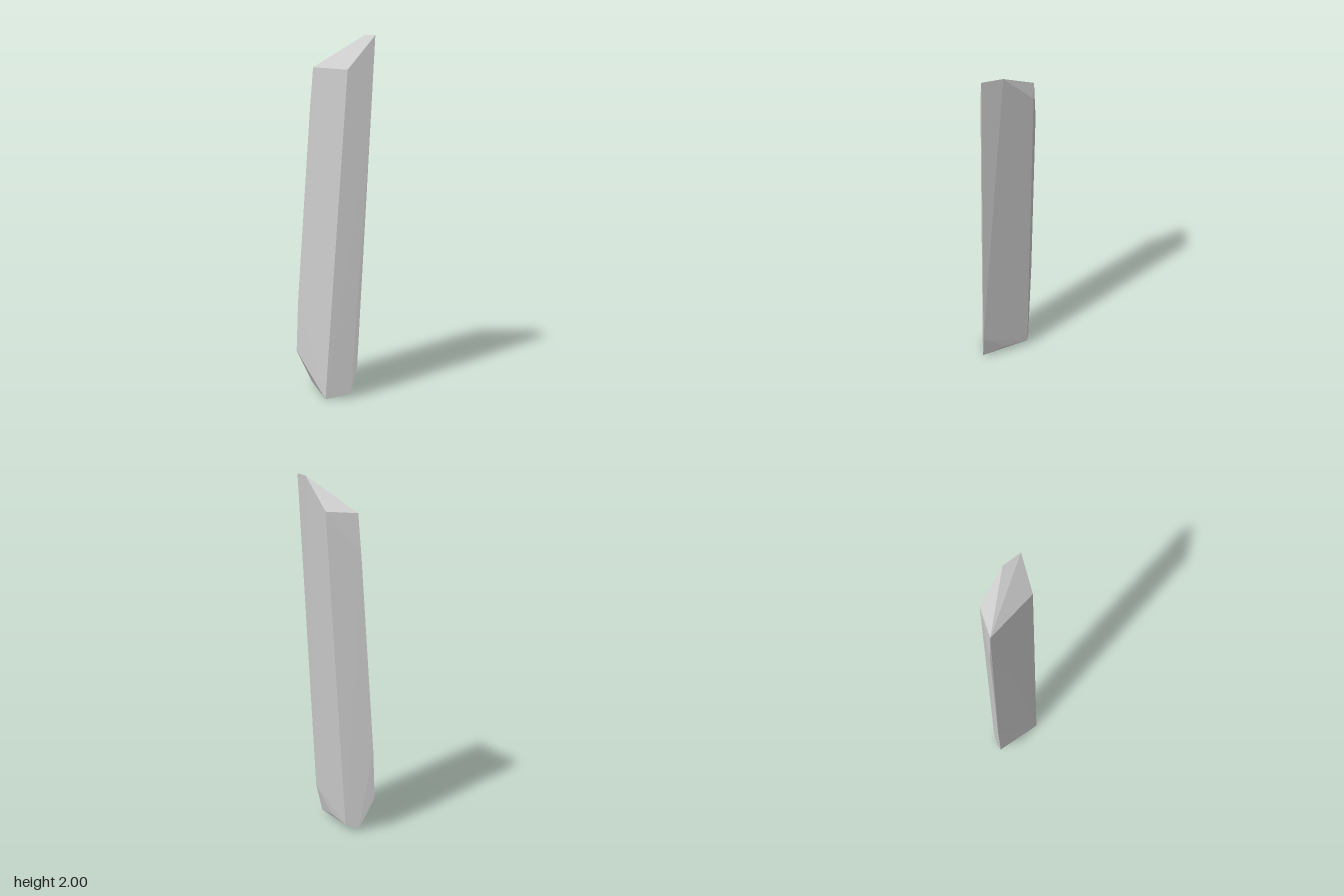
import * as THREE from 'three';
import { ConvexGeometry } from 'three/addons/geometries/ConvexGeometry.js';

export function createModel() {
  const group = new THREE.Group();
  group.name = 'crystalShard';

  // Corner points along each long edge of the leaning shard, top to bottom
  const edges = {
    frontRight: [[0.185, 2, 0.15], [0.16, 1.55, 0.156], [0.09, 0.18, 0.155], [0.055, 0.02, 0.156]],
    frontLeft: [[0.035, 1.82, 0.144], [-0.09, 0, 0.147]],
    backLeft: [[-0.085, 1.82, -0.144], [-0.1, 1.6, -0.157], [-0.175, 0.49, -0.157], [-0.187, 0.2, -0.149], [-0.1, 0.012, -0.135]],
    backRight: [[0.085, 1.83, -0.121], [-0.025, 0.04, -0.121]],
    tip: [[0.16, 2, 0.04]],
    base: [[0.025, 0.05, 0.015]],
  };
  const points = Object.values(edges).flat().map((p) => new THREE.Vector3(...p));

  // Faceted body stretched over the corners
  const shard = new THREE.Mesh(
    new ConvexGeometry(points),
    new THREE.MeshStandardMaterial({ color: 0xcccccc, flatShading: true })
  );
  shard.name = 'shard';
  group.add(shard);
  return group;
}
